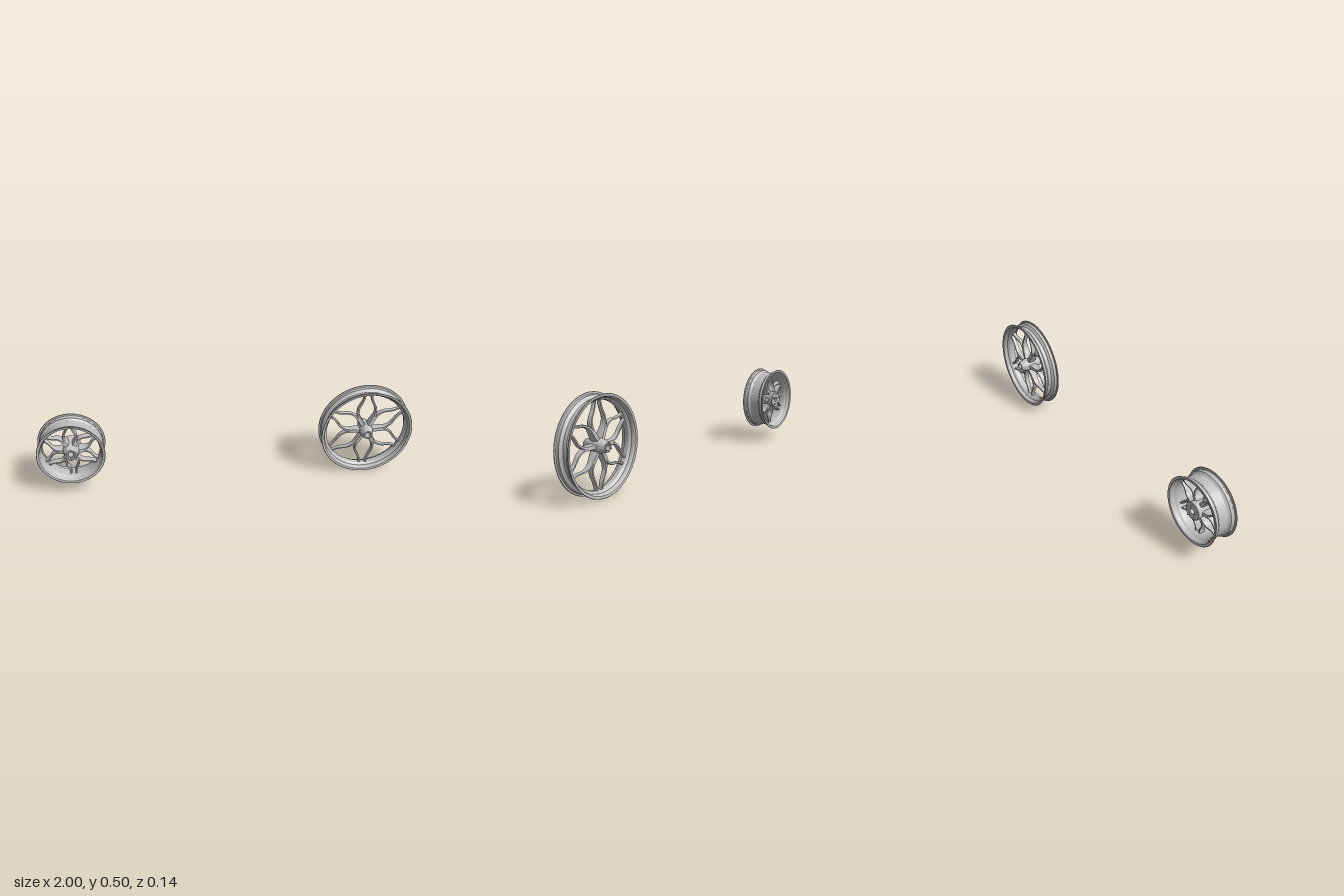
import * as THREE from 'three';
import { toCreasedNormals } from 'three/addons/utils/BufferGeometryUtils.js';

const metal = new THREE.MeshStandardMaterial({ color: 0xbfbfbf });
metal.name = 'grey metal';

function part(name, geometry, parent) {
  const mesh = new THREE.Mesh(geometry, metal);
  mesh.name = name;
  parent.add(mesh);
  return mesh;
}

// Turned part around the z axis; points are [radius, z]
function turned(points, segments = 72) {
  const g = new THREE.LatheGeometry(points.map(([r, z]) => new THREE.Vector2(r, z)), segments);
  g.rotateX(Math.PI / 2);
  return toCreasedNormals(g, 0.5);
}

// Closed rim: mirrored half profiles for the outside and the inside
function rimGeometry(outer, inner) {
  const back = (list) => list.map(([r, z]) => [r, -z]);
  const points = [
    ...back(outer), ...[...outer].reverse(),
    ...inner, ...back(inner).reverse(),
  ];
  points.push(points[0]);
  return turned(points, 96);
}

// Bevelled bar along a curve; rows are [radius, angle, width, depth, z]
function barGeometry(rows, base, side) {
  const path = new THREE.CatmullRomCurve3(rows.map(([r, deg, , , z]) => {
    const a = base + side * THREE.MathUtils.degToRad(deg);
    return new THREE.Vector3(r * Math.cos(a), r * Math.sin(a), z);
  }));
  const section = [[1, -0.5], [1, 0.5], [0.6, 1], [-0.6, 1], [-1, 0.5], [-1, -0.5], [-0.6, -1], [0.6, -1]];
  const steps = 24, n = section.length, pos = [], index = [];
  for (let i = 0; i <= steps; i++) {
    const t = i / steps, f = t * (rows.length - 1);
    const k = Math.min(Math.floor(f), rows.length - 2);
    const mix = (c) => THREE.MathUtils.lerp(rows[k][c], rows[k + 1][c], f - k) / 2;
    const p = path.getPoint(t), d = path.getTangent(t);
    const len = Math.hypot(d.x, d.y);
    for (const [u, v] of section) {
      const w = u * mix(2);
      pos.push(p.x - d.y / len * w, p.y + d.x / len * w, p.z + v * mix(3));
    }
  }
  for (let i = 0; i < steps; i++) {
    for (let j = 0; j < n; j++) {
      const a = i * n + j, b = i * n + (j + 1) % n;
      index.push(a, b, a + n, b, b + n, a + n);
    }
  }
  const g = new THREE.BufferGeometry();
  g.setAttribute('position', new THREE.Float32BufferAttribute(pos, 3));
  g.setIndex(index);
  return toCreasedNormals(g, 0.5);
}

// Six forked spokes whose branches pair up at the rim
function addSpokes(parent, rows) {
  for (let i = 0; i < 6; i++) {
    const spoke = new THREE.Group();
    spoke.name = 'forkedSpoke';
    for (const side of [1, -1]) part('spokeBranch', barGeometry(rows, i * Math.PI / 3, side), spoke);
    parent.add(spoke);
  }
}

function addBolts(parent, count, ring, radius, z, height) {
  for (let i = 0; i < count; i++) {
    const a = i / count * Math.PI * 2 + Math.PI / 2;
    const g = new THREE.CylinderGeometry(radius, radius, height, 10);
    g.rotateX(Math.PI / 2);
    part('hubBolt', g, parent).position.set(Math.cos(a) * ring, Math.sin(a) * ring, z);
  }
}

function largeWheel() {
  const wheel = new THREE.Group();
  wheel.name = 'largeWheel';
  // Half profiles run from the flange to the middle
  part('rim', rimGeometry(
    [[0.246, 0.045], [0.248, 0.043], [0.246, 0.040], [0.238, 0.038], [0.236, 0.034], [0.237, 0.022], [0.232, 0.019], [0.222, 0.010]],
    [[0.214, 0.009], [0.217, 0.015], [0.226, 0.022], [0.228, 0.034], [0.234, 0.043], [0.240, 0.045]].reverse(),
  ), wheel);
  addSpokes(wheel, [
    [0.018, 0, 0.022, 0.050, 0], [0.060, 4, 0.018, 0.040, 0], [0.105, 4, 0.015, 0.030, 0],
    [0.140, 11, 0.013, 0.024, 0], [0.170, 20, 0.012, 0.022, 0], [0.195, 24, 0.012, 0.020, 0],
    [0.220, 25.5, 0.014, 0.020, 0],
  ]);
  // Tapered hub with an open axle bore
  part('hub', turned([
    [0.016, -0.066], [0.024, -0.066], [0.026, -0.062], [0.031, -0.042], [0.036, -0.026], [0.036, 0.026],
    [0.031, 0.042], [0.026, 0.062], [0.024, 0.066], [0.016, 0.066], [0.016, -0.066],
  ], 48), wheel);
  for (const s of [1, -1]) addBolts(wheel, 6, 0.020, 0.0025, s * 0.067, 0.008);
  return wheel;
}

function smallWheel() {
  const wheel = new THREE.Group();
  wheel.name = 'smallWheel';
  part('rim', rimGeometry(
    [[0.176, 0.065], [0.178, 0.063], [0.176, 0.060], [0.168, 0.058], [0.165, 0.053], [0.166, 0.038], [0.161, 0.034], [0.156, 0.026]],
    [[0.149, 0.025], [0.153, 0.034], [0.157, 0.040], [0.158, 0.053], [0.164, 0.063], [0.170, 0.065]].reverse(),
  ), wheel);
  addSpokes(wheel, [
    [0.020, 0, 0.024, 0.070, 0], [0.048, 5, 0.018, 0.058, 0], [0.073, 5, 0.014, 0.046, 0],
    [0.096, 11, 0.011, 0.038, 0], [0.115, 20, 0.010, 0.034, 0], [0.133, 24, 0.010, 0.032, 0],
    [0.154, 25, 0.012, 0.032, 0],
  ]);
  // Hub: round boss in front, broad mounting disc behind
  part('hub', turned([
    [0.014, -0.058], [0.046, -0.058], [0.048, -0.055], [0.046, -0.038], [0.042, -0.025], [0.042, 0.030],
    [0.036, 0.042], [0.034, 0.060], [0.032, 0.064], [0.022, 0.064], [0.020, 0.055], [0.014, 0.055], [0.014, -0.058],
  ], 48), wheel);
  addBolts(wheel, 5, 0.034, 0.004, -0.062, 0.012);
  addBolts(wheel, 6, 0.027, 0.0025, 0.066, 0.010);
  return wheel;
}

export function createModel() {
  const model = new THREE.Group();
  model.name = 'wheelPair';
  const large = largeWheel();
  large.position.set(0.752, 0.248, 0);
  const small = smallWheel();
  small.position.set(-0.822, 0.245, -0.001);
  model.add(large, small);
  return model;
}
